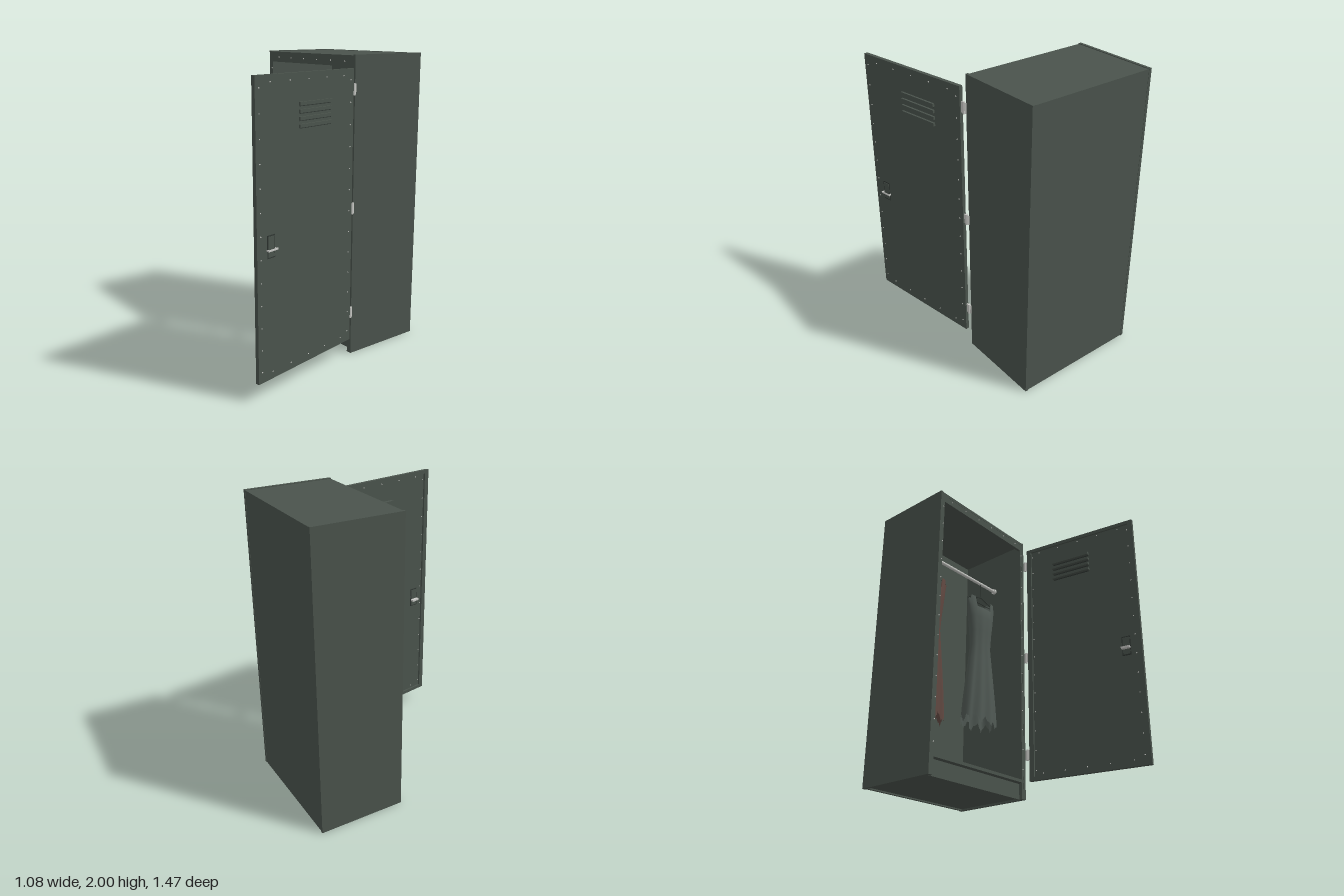
import * as THREE from 'three';
import { mergeGeometries } from 'three/addons/utils/BufferGeometryUtils.js';

const mat = (name, color, side = THREE.FrontSide) => {
  const m = new THREE.MeshStandardMaterial({ color, side });
  m.name = name;
  return m;
};

export function createModel() {
  const steel = mat('green grey steel', 0x4a534c);
  const dark = mat('dark metal', 0x303733);
  const metal = mat('bright metal', 0xc9cac6);
  const brown = mat('brown cloth', 0x5f4740, THREE.DoubleSide);
  const grey = mat('grey cloth', 0x505954, THREE.DoubleSide);
  const pale = mat('pale cloth', 0xd6d8d4, THREE.DoubleSide);

  const root = new THREE.Group();
  root.name = 'locker';
  const group = (name, parent = root) => {
    const g = new THREE.Group();
    g.name = name;
    parent.add(g);
    return g;
  };
  const add = (parent, name, geo, material) => {
    const m = new THREE.Mesh(geo, material);
    m.name = name;
    parent.add(m);
    return m;
  };
  // Box given by its lower and upper corner
  const box = (parent, name, x0, x1, y0, y1, z0, z1, material = steel) =>
    add(parent, name, new THREE.BoxGeometry(x1 - x0, y1 - y0, z1 - z0)
      .translate((x0 + x1) / 2, (y0 + y1) / 2, (z0 + z1) / 2), material);
  const rivets = (parent, name, points) => add(parent, name, mergeGeometries(
    points.map(p => new THREE.SphereGeometry(0.0045, 6, 4).translate(...p))), metal);

  // Cabinet shell
  const L = -0.537, R = 0.365, F = -0.147, B = -0.735;
  const cab = group('cabinet');
  box(cab, 'leftWall', R - 0.02, R, 0, 2, B, F);
  box(cab, 'rightWall', L, L + 0.02, 0, 2, B, F);
  box(cab, 'backWall', L + 0.02, R - 0.02, 0.003, 1.997, B + 0.002, B + 0.02);
  box(cab, 'topPanel', L + 0.02, R - 0.02, 1.975, 1.995, B + 0.02, F);
  box(cab, 'floorPanel', L + 0.02, R - 0.02, 0.11, 0.13, B + 0.02, F);
  box(cab, 'undersidePanel', L + 0.02, R - 0.02, 0.012, 0.02, B + 0.02, F - 0.045);
  box(cab, 'kickPlate', L + 0.02, R - 0.02, 0.005, 0.11, F - 0.055, F - 0.04);
  // Front flanges around the opening
  box(cab, 'rightFlange', L + 0.02, L + 0.037, 0, 1.975, F - 0.02, F - 0.001);
  box(cab, 'leftFlange', R - 0.037, R - 0.02, 0, 1.975, F - 0.02, F - 0.001);
  box(cab, 'topFlange', L + 0.037, R - 0.037, 1.925, 1.975, F - 0.02, F - 0.001);
  const frameRivets = [];
  for (let i = 0; i < 13; i++) {
    const y = 0.2 + i * 0.14;
    frameRivets.push([L + 0.028, y, F], [R - 0.028, y, F]);
  }
  for (let i = 0; i < 6; i++) frameRivets.push([-0.425 + i * 0.138, 1.957, F]);
  rivets(cab, 'frameRivets', frameRivets);

  // Hanging rod with end sockets
  const ROD_Y = 1.66, ROD_Z = -0.42;
  const rodLength = R - L - 0.04, midX = (L + R) / 2;
  add(root, 'hangingRod', new THREE.CylinderGeometry(0.012, 0.012, rodLength, 16)
    .rotateZ(Math.PI / 2).translate(midX, ROD_Y, ROD_Z), metal);
  for (const s of [-1, 1]) add(root, 'rodSocket', new THREE.CylinderGeometry(0.02, 0.02, 0.018, 16)
    .rotateZ(Math.PI / 2).translate(midX + s * (rodLength / 2 - 0.009), ROD_Y, ROD_Z), metal);

  // Open door: local x runs from hinge to free edge, local +z is the inner face
  const door = group('door');
  door.position.set(0.375, 0, -0.113);
  door.rotation.y = -1.4;
  const W = 0.858, D0 = 0.12, D1 = 1.92;
  box(door, 'doorSheet', 0, W, D0, D1, -0.013, -0.001);
  box(door, 'doorTopLip', 0, W, D1 - 0.025, D1, -0.001, 0.012);
  box(door, 'doorBottomLip', 0, W, D0, D0 + 0.025, -0.001, 0.012);
  box(door, 'doorHingeLip', 0, 0.035, D0 + 0.025, D1 - 0.025, -0.001, 0.012);
  box(door, 'doorFreeLip', W - 0.035, W, D0 + 0.025, D1 - 0.025, -0.001, 0.012);
  const doorRivets = [];
  for (const z of [-0.013, 0]) {
    const inset = z < 0 ? 0.03 : 0.045;
    for (let i = 0; i < 13; i++) {
      const y = 0.19 + i * 0.1385;
      doorRivets.push([inset, y, z], [W - inset, y, z]);
    }
    for (let i = 0; i < 6; i++) {
      const x = 0.1 + i * 0.16;
      if (x < W - 0.05) doorRivets.push([x, D1 - 0.04, z], [x, D0 + 0.045, z]);
    }
  }
  rivets(door, 'doorRivets', doorRivets);
  // Vent louvres with a dark slot under each hood
  for (let i = 0; i < 4; i++) {
    const y = 1.615 + i * 0.0425;
    box(door, 'louvre', 0.218, 0.508, y - 0.009, y + 0.011, -0.026, 0.024);
    box(door, 'louvreSlot', 0.222, 0.504, y - 0.015, y - 0.009, -0.016, 0.004, dark);
  }
  // Latch
  const latch = group('latch', door);
  box(latch, 'latchRecess', 0.715, 0.777, 0.88, 1.018, -0.016, 0.004, dark);
  box(latch, 'latchCover', 0.721, 0.771, 0.887, 1.011, -0.018, 0.006);
  box(latch, 'latchBar', 0.705, 0.785, 0.926, 0.936, -0.034, -0.028, metal);
  for (const x of [0.708, 0.776])
    box(latch, 'latchPost', x, x + 0.006, 0.926, 0.936, -0.03, -0.013, metal);
  box(latch, 'innerLatch', 0.715, 0.775, 0.924, 0.938, 0.006, 0.03, metal);

  // Hinges
  for (const y of [0.305, 1.025, 1.79]) {
    const h = group('hinge');
    h.position.set(0.372, y, -0.133);
    add(h, 'hingePin', new THREE.CylinderGeometry(0.009, 0.009, 0.076, 12), metal);
    box(h, 'cabinetLeaf', -0.007, 0, -0.034, 0.034, -0.018, 0.004, metal);
    box(h, 'doorLeaf', -0.002, 0.006, -0.034, 0.034, -0.004, 0.024, metal);
  }

  // Wire hanger
  const wire = (parent, name, pts, closed, r = 0.003) => {
    const path = new THREE.CurvePath();
    const v = pts.map(p => new THREE.Vector3(p[0], p[1], 0));
    if (closed) v.push(v[0]);
    for (let i = 0; i + 1 < v.length; i++) path.add(new THREE.LineCurve3(v[i], v[i + 1]));
    for (const c of path.curves)
      add(parent, name, new THREE.TubeGeometry(c, 1, r, 6), dark);
  };
  const hanger = parent => {
    wire(parent, 'hangerShoulders', [[0, 1.535], [0.14, 1.492], [0.14, 1.482], [-0.14, 1.482], [-0.14, 1.492]], true);
    wire(parent, 'hangerNeck', [[0, 1.535], [0, 1.642]], false, 0.002);
    add(parent, 'hangerHook', new THREE.TorusGeometry(0.015, 0.002, 6, 16, Math.PI * 1.5)
      .rotateZ(-Math.PI / 2).translate(0, ROD_Y, 0).rotateY(Math.PI / 2), dark);
  };

  // Dress: stacked elliptical sections [height fraction, half width, half depth]
  const profile = [[0, 0.157, 0.085], [0.15, 0.145, 0.08], [0.32, 0.128, 0.07], [0.5, 0.108, 0.06],
    [0.62, 0.095, 0.052], [0.74, 0.104, 0.056], [0.86, 0.12, 0.06], [0.95, 0.134, 0.05], [1, 0.147, 0.03]];
  const dressGeometry = (hemY, phase) => {
    const N = 72, pos = [], index = [];
    profile.forEach(([t, a, b], row) => {
      for (let i = 0; i <= N; i++) {
        const u = i / N * Math.PI * 2, c = Math.cos(u), s = Math.sin(u);
        const fold = 1 + 0.14 * (1 - t) * Math.sin(u * 9 + phase + t * 2);
        let y = hemY + t * (1.47 - hemY);
        // ragged hem, and straps rising either side of a scooped neckline
        if (row === 0) y += 0.025 * Math.sin(u * 11 + phase) + (i % 2) * 0.015 - 0.012;
        if (row === profile.length - 1) {
          const k = Math.abs(c);
          y = k < 0.52 ? 1.435 : k < 0.85 ? 1.51 : 1.475;
        }
        pos.push(a * c, y, b * s * fold);
      }
    });
    for (let r = 0; r + 1 < profile.length; r++) for (let i = 0; i < N; i++) {
      const p = r * (N + 1) + i, q = p + N + 1;
      index.push(p, q, p + 1, p + 1, q, q + 1);
    }
    const g = new THREE.BufferGeometry();
    g.setAttribute('position', new THREE.Float32BufferAttribute(pos, 3));
    g.setIndex(index);
    g.computeVertexNormals();
    return g;
  };
  const dress = (name, x, hemY, phase, material) => {
    const g = group(name);
    g.position.set(x, 0, ROD_Z + 0.01);
    hanger(g);
    add(g, name + 'Cloth', dressGeometry(hemY, phase), material);
  };
  dress('brownDress', -0.345, 0.465, 0.4, brown);
  dress('greyDress', 0.173, 0.545, 1.9, grey);

  // Frayed pale cloth strips lying on the floor
  for (const x of [-0.435, 0.272]) {
    const shape = new THREE.Shape();
    const N = 40;
    for (let i = 0; i < N; i++) {
      const u = i / N * Math.PI * 2, k = 1 - 0.14 * (i % 2);
      shape.lineTo(0.05 * k * Math.cos(u), 0.2 * k * Math.sin(u));
      if (i === 0) shape.moveTo(0.05, 0);
    }
    const strip = add(root, 'floorCloth', new THREE.ShapeGeometry(shape).rotateX(-Math.PI / 2), pale);
    strip.position.set(x, 0.134, -0.47);
  }
  return root;
}
